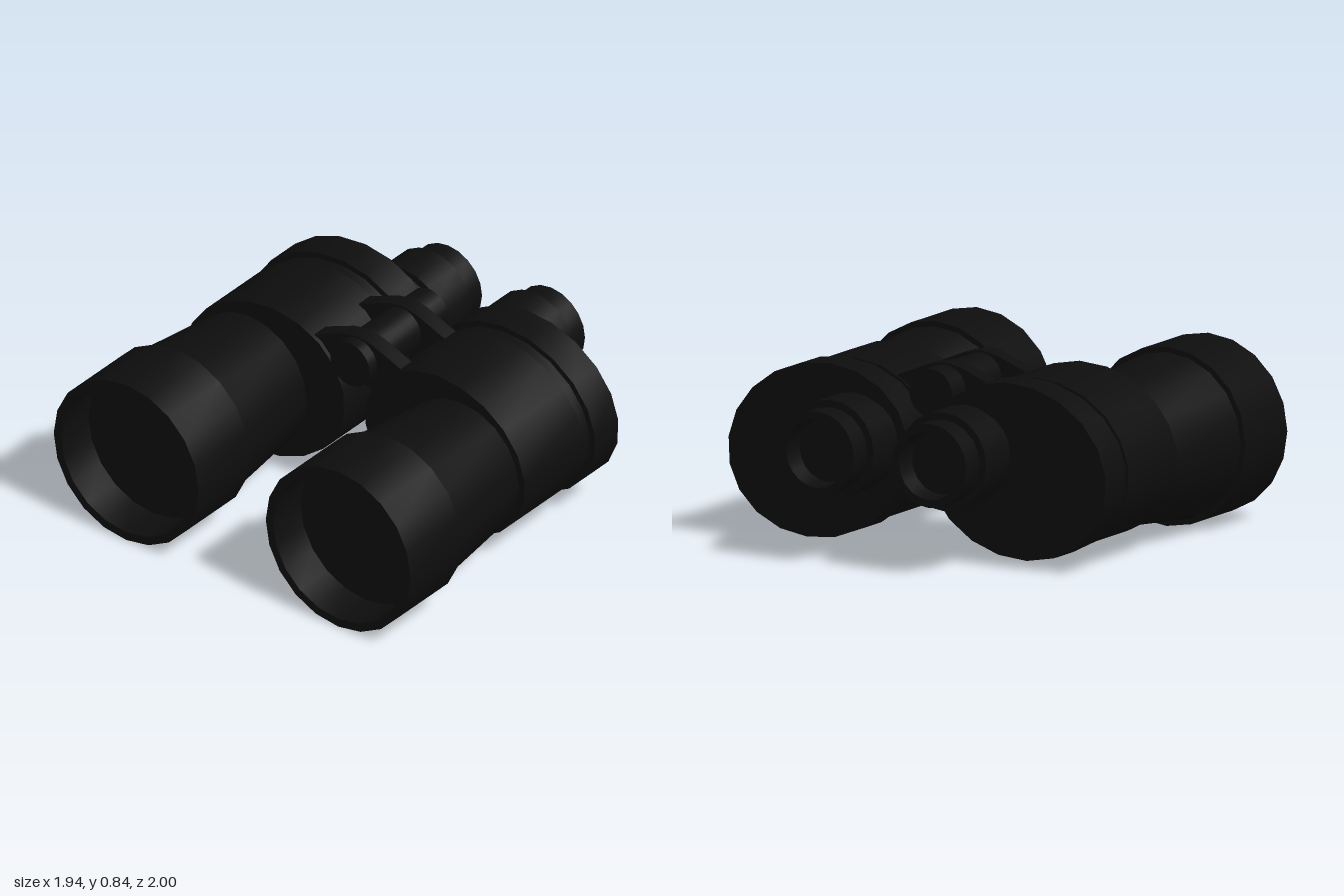
import * as THREE from 'three';
import { toCreasedNormals } from 'three/addons/utils/BufferGeometryUtils.js';

const SIDES = 20;
const black = new THREE.MeshStandardMaterial({ color: 0x0d0d0d });
black.name = 'matte black';

// Turned part along the x axis; the profile is a list of [radius, x].
function turned(profile) {
  const points = profile.map(([r, x]) => new THREE.Vector2(r, x));
  return new THREE.LatheGeometry(points, SIDES).rotateZ(-Math.PI / 2);
}

function part(name, geometry) {
  const mesh = new THREE.Mesh(toCreasedNormals(geometry, 0.5), black);
  mesh.name = name;
  return mesh;
}

function createTube(side) {
  const tube = new THREE.Group();
  tube.name = side > 0 ? 'leftTube' : 'rightTube';

  // Objective barrel with a recessed front lens
  const barrel = part('objectiveBarrel', turned([
    [0, -0.77], [0.365, -0.77], [0.365, -0.97], [0.405, -0.97],
    [0.405, -0.6], [0.38, -0.6], [0.325, -0.08],
  ]));
  barrel.position.set(0, 0.41, side * 0.593);

  // Oval prism housing, tilted towards the hinge, with a groove and end cap
  const oval = turned([
    [0, -0.08], [0.967, -0.08], [0.967, 0.35], [0.935, 0.35],
    [0.935, 0.41], [1, 0.41], [1, 0.58], [0, 0.58],
  ]);
  oval.scale(1, 0.394, 0.4665).rotateX(side * 0.227);
  const housing = part('prismHousing', oval);
  housing.position.set(0, 0.44, side * 0.505);

  // Eyepiece with focus ring and recessed lens
  const eyepiece = part('eyepiece', turned([
    [0.19, 0.57], [0.19, 0.65], [0.223, 0.65], [0.223, 0.85],
    [0.19, 0.85], [0.19, 0.97], [0.155, 0.97], [0.145, 0.87], [0, 0.87],
  ]));
  eyepiece.position.set(0, 0.51, side * 0.288);

  tube.add(barrel, housing, eyepiece);
  return tube;
}

export function createModel() {
  const model = new THREE.Group();
  model.name = 'binoculars';
  for (const side of [1, -1]) model.add(createTube(side));

  // Central hinge
  const hinge = part('hinge', turned([
    [0, -0.115], [0.11, -0.115], [0.11, 0.46], [0, 0.46],
  ]));
  hinge.position.y = 0.725;
  model.add(hinge);

  // Two bridge arms joining the housings
  const half = [[0.08, 0.6], [0.24, 0.56], [0.24, 0.765], [0.08, 0.83]];
  const outline = [
    [0, 0.615], ...half, [0, 0.845],
    ...half.slice().reverse().map(([z, y]) => [-z, y]),
  ];
  const shape = new THREE.Shape(outline.map(([z, y]) => new THREE.Vector2(z, y)));
  for (const [name, x] of [['frontBridgeArm', -0.06], ['rearBridgeArm', 0.26]]) {
    const arm = new THREE.ExtrudeGeometry(shape, { depth: 0.08, bevelEnabled: false });
    const mesh = part(name, arm.rotateY(Math.PI / 2));
    mesh.position.x = x;
    model.add(mesh);
  }
  return model;
}
